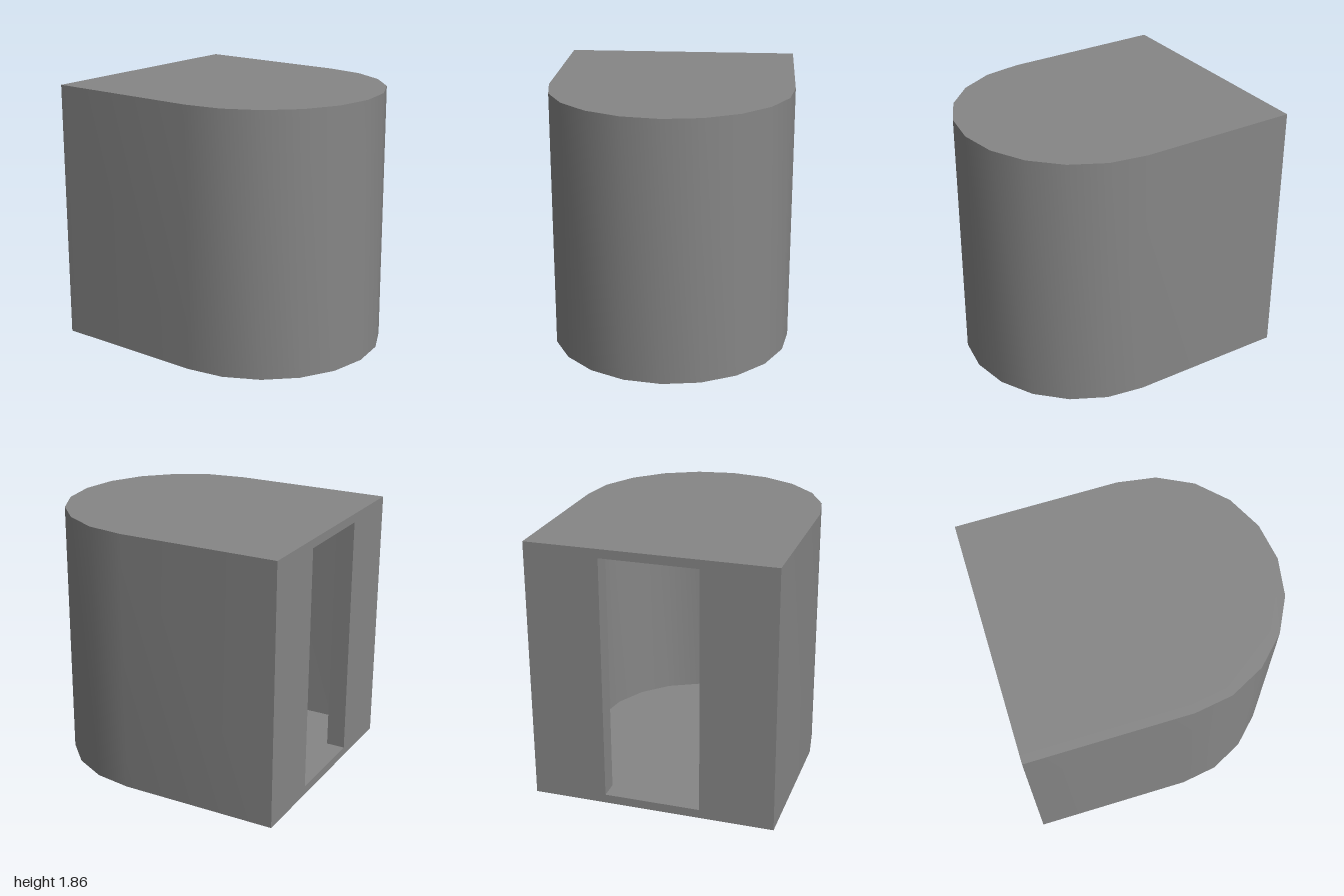
import * as THREE from 'three';
import { toCreasedNormals } from 'three/addons/utils/BufferGeometryUtils.js';

const HEIGHT = 1.86, SLAB = 0.062, BACK = -1, ARC_Z = 0.14;
const OUTER = 0.86, INNER = 0.8, DOOR = 0.34, BACK_WALL = 0.135;

const p = (x, y) => new THREE.Vector2(x, y);

// Points of a half circle bulging to the front, from +x to -x
function arc(radius) {
  return Array.from({ length: 11 }, (_, i) => {
    const a = (i * Math.PI) / 10;
    return p(radius * Math.cos(a), ARC_Z + radius * Math.sin(a));
  });
}

// Raises a floor plan (x, z) between two heights
function raise(name, points, bottom, top, material) {
  const geometry = new THREE.ExtrudeGeometry(new THREE.Shape(points), { depth: top - bottom, bevelEnabled: false });
  geometry.rotateX(Math.PI / 2).translate(0, top, 0);
  const mesh = new THREE.Mesh(toCreasedNormals(geometry, 0.5), material);
  mesh.name = name;
  return mesh;
}

// Upright rectangle from floor level to ceiling level, inset by a margin
const panel = (halfWidth, margin) => [
  p(-halfWidth, margin), p(halfWidth, margin), p(halfWidth, HEIGHT - margin), p(-halfWidth, HEIGHT - margin),
];

export function createModel() {
  const group = new THREE.Group();
  group.name = 'roundedRoom';
  const material = new THREE.MeshStandardMaterial({ color: 0x868686 });

  // Thin U-shaped wall, full height
  const curvedWall = [
    p(OUTER, BACK), ...arc(OUTER), p(-OUTER, BACK),
    p(-INNER, BACK), ...arc(INNER).reverse(), p(INNER, BACK),
  ];
  group.add(raise('curvedWall', curvedWall, 0, HEIGHT, material));

  // Floor and ceiling set inside the walls
  const inside = BACK + BACK_WALL;
  const slab = [p(INNER, inside), ...arc(INNER), p(-INNER, inside)];
  group.add(raise('floor', slab, 0, SLAB, material));
  group.add(raise('ceiling', slab, HEIGHT - SLAB, HEIGHT, material));

  // Thicker back wall with the doorway
  const backShape = new THREE.Shape(panel(INNER, 0));
  backShape.holes.push(new THREE.Path(panel(DOOR, SLAB)));
  const backWall = new THREE.Mesh(
    new THREE.ExtrudeGeometry(backShape, { depth: BACK_WALL, bevelEnabled: false }).translate(0, 0, BACK), material);
  backWall.name = 'backWall';
  group.add(backWall);
  return group;
}
